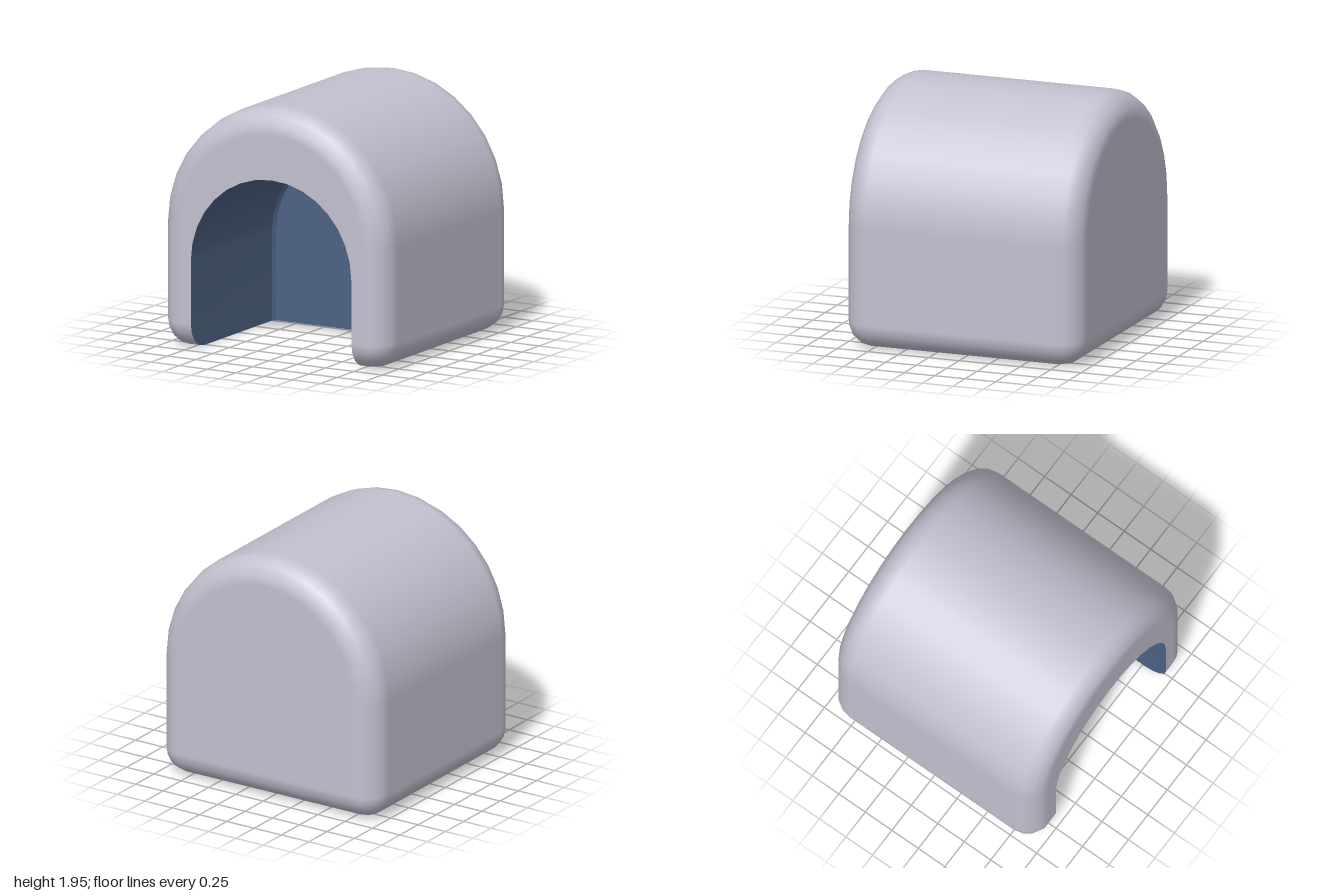
import * as THREE from 'three';
import { toCreasedNormals } from 'three/addons/utils/BufferGeometryUtils.js';

const R = 0.2;        // rounding of all outer edges
const HALF = 0.97;    // half depth
const ARCH_Y = 0.95;  // springing height of the outer arch
const IN_R = 0.71;    // radius of the cavity arch
const IN_Y = 0.69;    // springing height of the cavity arch
const IN_BACK = -0.27; // back wall of the cavity
const STEPS = 4;      // segments per rounded edge
const ARCH = 16;      // segments per arch

// Grid surface; at(row, col) returns { p: [x, y, z], n: [x, y, z] }
function grid(rows, cols, at) {
  const pos = [], nor = [], idx = [];
  for (let i = 0; i < rows; i++) {
    for (let j = 0; j < cols; j++) {
      const { p, n } = at(i, j);
      pos.push(...p);
      nor.push(...n);
      if (i < rows - 1 && j < cols - 1) {
        const a = i * cols + j, b = a + 1, c = a + cols, d = c + 1;
        idx.push(a, b, c, b, d, c);
      }
    }
  }
  const g = new THREE.BufferGeometry();
  g.setAttribute('position', new THREE.Float32BufferAttribute(pos, 3));
  g.setAttribute('normal', new THREE.Float32BufferAttribute(nor, 3));
  g.setIndex(idx);
  return g;
}

// Profile point: an arc centre, radius and outward direction
const arcPoint = (cx, cy, r, t) => ({ cx, cy, r, nx: Math.cos(t), ny: Math.sin(t) });

// Outer profile, from the right foot over the arch to the left foot
function outerProfile() {
  const pts = [arcPoint(IN_R, R, R, -Math.PI / 2)];
  for (let i = 0; i <= STEPS; i++) pts.push(arcPoint(1 - R, R, R, -Math.PI / 2 * (1 - i / STEPS)));
  for (let i = 0; i <= ARCH; i++) pts.push(arcPoint(0, ARCH_Y, 1, Math.PI * i / ARCH));
  for (let i = 0; i <= STEPS; i++) pts.push(arcPoint(R - 1, R, R, Math.PI * (1 + i / STEPS / 2)));
  pts.push(arcPoint(-IN_R, R, R, -Math.PI / 2));
  return pts;
}

// Depth sections through a rounded edge: z, inset and slope angle
function edgeSections(side) {
  const out = [];
  for (let i = 0; i <= STEPS; i++) {
    const a = side * Math.PI / 2 * i / STEPS;
    out.push({ z: side * (HALF - R) + R * Math.sin(a), d: R * (1 - Math.cos(a)), a });
  }
  return out;
}

// Sweep a profile through sections, insetting it along the rounded edges
function loft(profile, sections) {
  return grid(sections.length, profile.length, (i, j) => {
    const s = sections[i], q = profile[j], c = Math.cos(s.a);
    return {
      p: [q.cx + q.nx * (q.r - s.d), q.cy + q.ny * (q.r - s.d), s.z],
      n: [q.nx * c, q.ny * c, Math.sin(s.a)],
    };
  });
}

// Cavity outline from the left foot over to the right foot
function cavityOutline(r, footY) {
  const pts = [new THREE.Vector2(-r, footY)];
  for (let i = 0; i <= ARCH; i++) {
    const t = Math.PI * (1 - i / ARCH);
    pts.push(new THREE.Vector2(r * Math.cos(t), IN_Y + r * Math.sin(t)));
  }
  pts.push(new THREE.Vector2(r, footY));
  return pts;
}

export function createModel() {
  const group = new THREE.Group();
  const shellMat = new THREE.MeshStandardMaterial({ color: 0xc4c0d0 });
  shellMat.name = 'pale lilac grey';
  const cavityMat = new THREE.MeshStandardMaterial({ color: 0x4d6284 });
  cavityMat.name = 'slate blue';
  const add = (name, geometry, material) => {
    const mesh = new THREE.Mesh(geometry, material);
    mesh.name = name;
    group.add(mesh);
    return mesh;
  };

  // Outer shell with rounded front and back edges
  const profile = outerProfile();
  const back = edgeSections(-1).reverse(), front = edgeSections(1);
  add('outerShell', loft(profile, [...back, ...front]), shellMat);

  // Underside behind the cavity
  const feet = [profile[profile.length - 1], profile[0]];
  add('underside', loft(feet, [...back, { z: IN_BACK, d: 0, a: 0 }]), shellMat);

  // Flat faces inside the rounded edges
  const rim = profile.map((q) => new THREE.Vector2(q.cx + q.nx * (q.r - R), q.cy + q.ny * (q.r - R)))
    .filter((v, i, all) => i === 0 || v.distanceTo(all[i - 1]) > 1e-4);
  const backFace = new THREE.ShapeGeometry(new THREE.Shape(rim.map((v) => new THREE.Vector2(-v.x, v.y)).reverse()));
  backFace.rotateY(Math.PI);
  add('backFace', backFace, shellMat).position.z = -HALF;
  const frontOutline = [...rim, ...cavityOutline(IN_R, R).slice(1, -1)];
  add('frontFace', new THREE.ShapeGeometry(new THREE.Shape(frontOutline)), shellMat).position.z = HALF;

  // Cavity walls, with a slim chamfer at the back and feet following the rounded front
  const wallSections = [
    { z: IN_BACK, d: 0, r: IN_R - 0.02 },
    { z: IN_BACK + 0.03, d: 0, r: IN_R },
    ...front.map((s) => ({ ...s, r: IN_R })),
  ];
  const outlines = wallSections.map((s) => cavityOutline(s.r, s.d));
  const walls = grid(outlines.length, outlines[0].length, (i, j) => ({
    p: [outlines[i][j].x, outlines[i][j].y, wallSections[i].z], n: [0, 0, 1],
  }));
  add('cavityWalls', toCreasedNormals(walls, 0.4), cavityMat);

  // Cavity back wall
  const backWall = new THREE.ShapeGeometry(new THREE.Shape(cavityOutline(IN_R - 0.02, 0)));
  add('cavityBackWall', backWall, cavityMat).position.z = IN_BACK;

  return group;
}
